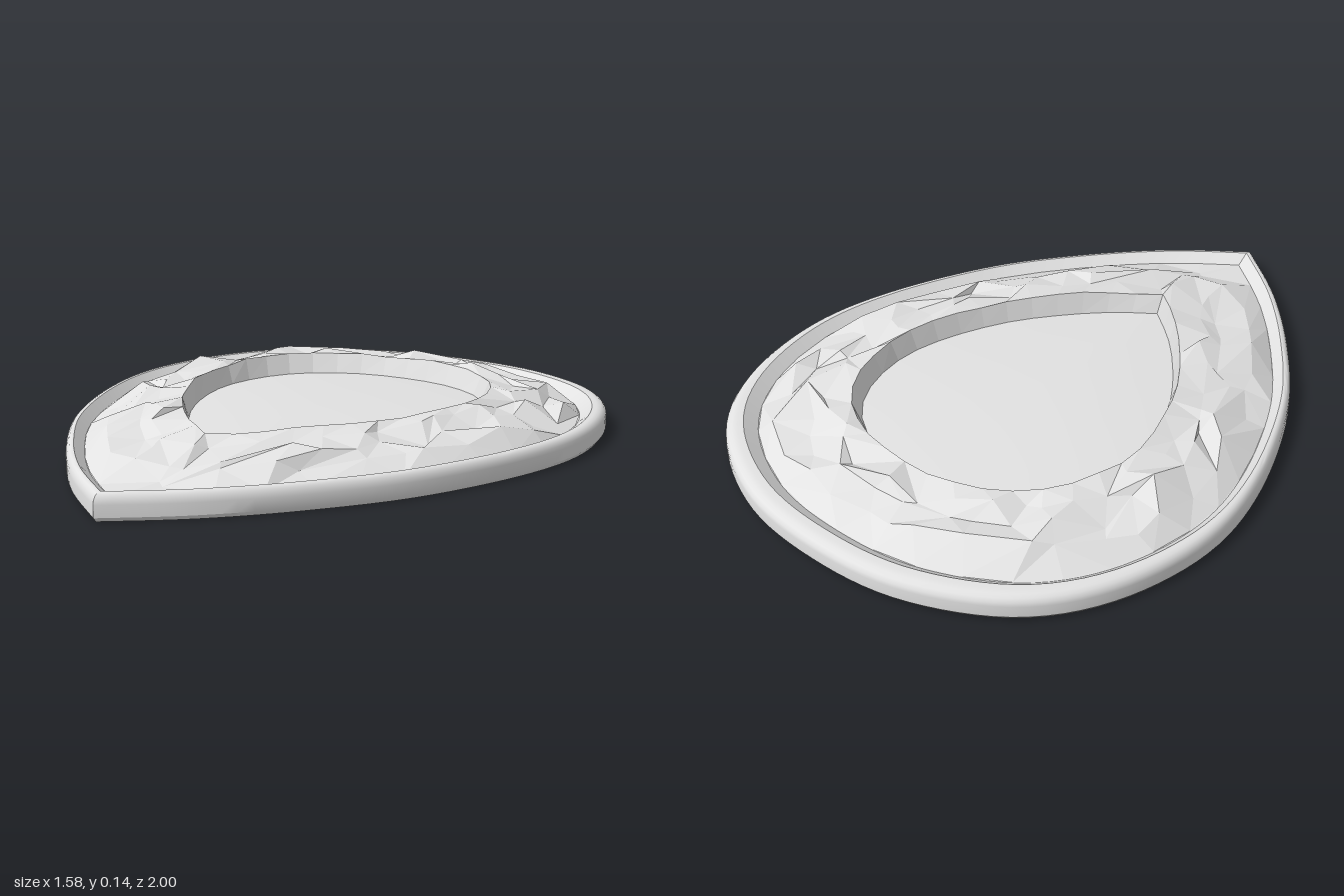
import * as THREE from 'three';
import { toCreasedNormals } from 'three/addons/utils/BufferGeometryUtils.js';

// Teardrop outline (x, z): from the back down to just before the front tip
const half = [[0.29, -0.963], [0.56, -0.82], [0.72, -0.6], [0.788, -0.3],
  [0.745, 0], [0.6, 0.35], [0.41, 0.62], [0.21, 0.835]];
const outline = new THREE.SplineCurve([
  [0, 1], ...half.map(([x, z]) => [-x, z]).reverse(), [0, -1], ...half, [0, 1],
].map(([x, z]) => new THREE.Vector2(x, z)));

// Point on a scaled copy of the outline; u = 0 is the tip
function point(u, scale, dz, y) {
  const p = outline.getPointAt(((u % 1) + 1) % 1);
  return new THREE.Vector3(p.x * scale, y, p.y * scale + dz);
}

const ring = (n, scale, dz, y) =>
  Array.from({ length: n }, (_, i) => point(i / n, scale, dz, y));

// Unindexed surface through successive closed rings
function loft(rings, flip = () => false) {
  const pts = [];
  for (let k = 0; k < rings.length - 1; k++) {
    const a = rings[k], b = rings[k + 1];
    for (let i = 0; i < a.length; i++) {
      const j = (i + 1) % a.length;
      if (flip()) pts.push(a[i], b[i], b[j], a[i], b[j], a[j]);
      else pts.push(a[i], b[i], a[j], b[i], b[j], a[j]);
    }
  }
  const geometry = new THREE.BufferGeometry().setFromPoints(pts);
  geometry.computeVertexNormals();
  return geometry;
}

function seeded(seed) {
  return () => {
    seed = (seed * 16807) % 2147483647;
    return seed / 2147483647;
  };
}

export function createModel() {
  const group = new THREE.Group();
  const stone = new THREE.MeshStandardMaterial({ color: 0xe2e2e2 });
  stone.name = 'light grey';
  const add = (name, geometry) => {
    const mesh = new THREE.Mesh(geometry, stone);
    mesh.name = name;
    group.add(mesh);
  };

  // Base plate with rounded outer rim and sloping inner lip: scale, z shift, y
  const rim = [[0, 0, 0], [0.99, 0, 0], [1, 0, 0.012], [1, 0, 0.046], [0.998, 0, 0.0575],
    [0.991, 0.001, 0.067], [0.982, 0.003, 0.0735], [0.97, 0.008, 0.076],
    [0.956, 0.013, 0.076], [0.915, 0.012, 0.046], [0.88, 0.01, 0.046]];
  add('baseRim', toCreasedNormals(loft(rim.map((r) => ring(120, ...r))), 0.55));

  // Jagged rock band, rising from the rim towards the inner hollow
  const rand = seeded(90210);
  const jitter = (amount) => (rand() * 2 - 1) * amount;
  const n = 38, bands = 4, innerScale = 0.577, innerShift = -0.065;
  const rocks = [];
  for (let k = 0; k <= bands; k++) {
    const loop = [];
    const edge = k === 0 || k === bands;
    for (let i = 0; i < n; i++) {
      const t = edge ? k / bands : (k + jitter(0.44)) / bands;
      const u = (i + (edge ? 0 : jitter(0.45))) / n;
      const scale = THREE.MathUtils.lerp(0.915, innerScale, t);
      const p = point(u, scale, THREE.MathUtils.lerp(0.012, innerShift, t), 0);
      p.y = 0.048 + 0.082 * Math.pow(t, 0.5);
      if (k === bands) p.y += jitter(0.006);
      else if (k > 0) p.y += jitter(0.02) - 0.06 * Math.max(0, p.z - 0.45) + (rand() > 0.93 ? 0.015 : 0);
      loop.push(p);
    }
    rocks.push(loop);
  }
  add('rockBand', loft(rocks, () => rand() > 0.5));

  // Steep wall around the hollow
  add('hollowWall', loft([rocks[bands], ring(n, 0.55, innerShift, 0.068)]));

  // Smooth, slightly domed floor of the hollow
  const dome = [[0.55, 0.068], [0.42, 0.075], [0.22, 0.081], [0, 0.083]];
  add('hollowFloor', toCreasedNormals(loft(dome.map(([s, y]) => ring(n, s, innerShift, y))), 0.5));

  return group;
}
